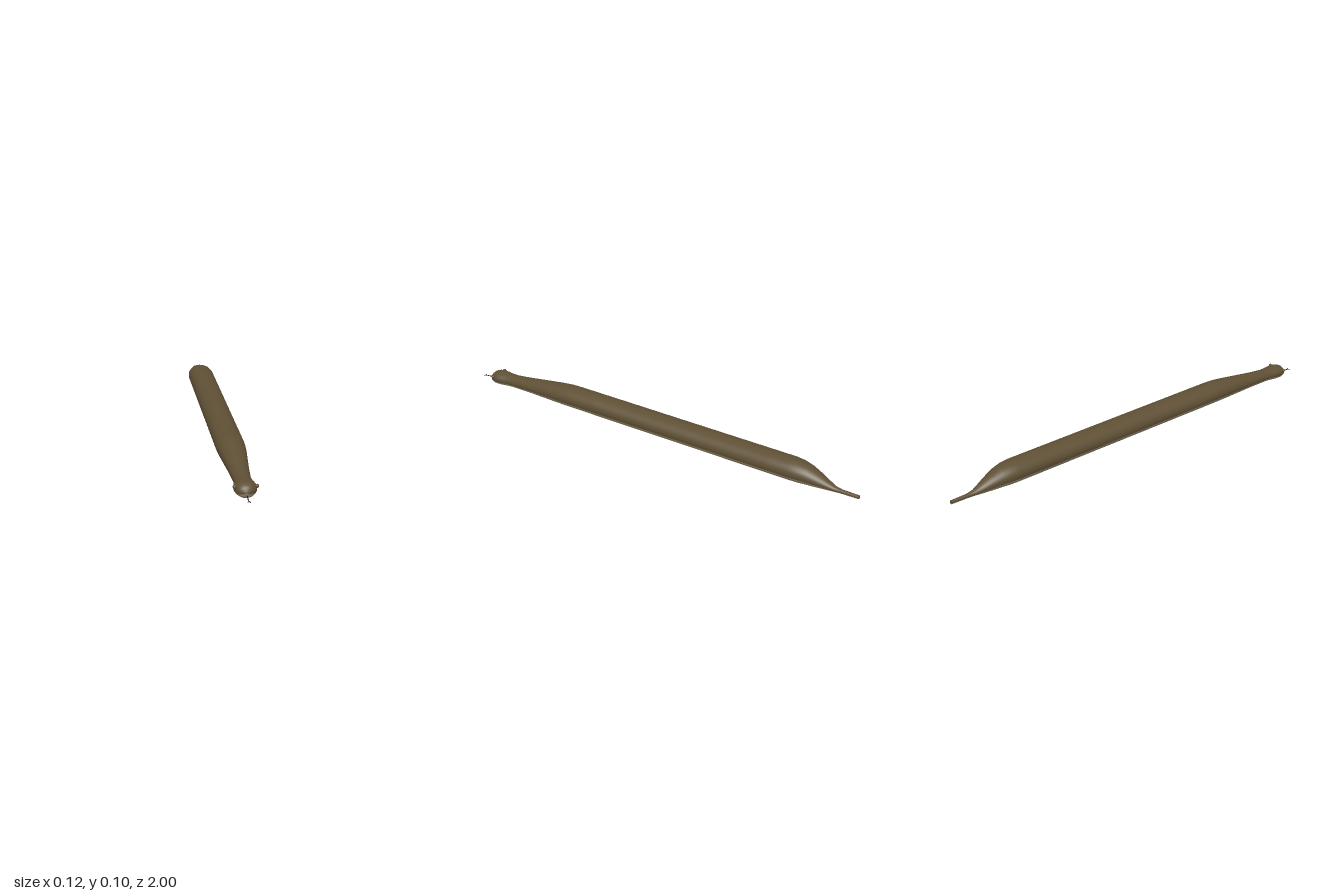
import * as THREE from 'three';

const mat = (name, color) => {
  const m = new THREE.MeshStandardMaterial({ color });
  m.name = name;
  return m;
};

// Cross-sections from snout to tail: z, half width, bottom, top
const SECTIONS = [
  [0.94, 0, 0.026, 0.026], [0.938, 0.013, 0.016, 0.037], [0.932, 0.025, 0.009, 0.048],
  [0.922, 0.035, 0.004, 0.056], [0.908, 0.042, 0.002, 0.061], [0.89, 0.045, 0.002, 0.063],
  [0.87, 0.043, 0.002, 0.063], [0.85, 0.039, 0.003, 0.062], [0.83, 0.036, 0.005, 0.062],
  [0.8, 0.035, 0.006, 0.063], [0.75, 0.038, 0.007, 0.068], [0.68, 0.043, 0.008, 0.077],
  [0.6, 0.05, 0.008, 0.088], [0.53, 0.056, 0.008, 0.097], [0.48, 0.059, 0.008, 0.102],
  [0.43, 0.06, 0.008, 0.103], [0.3, 0.06, 0.008, 0.103], [-0.6, 0.06, 0.008, 0.103],
  [-0.69, 0.06, 0.008, 0.103], [-0.73, 0.057, 0.008, 0.1], [-0.77, 0.049, 0.009, 0.091],
  [-0.82, 0.036, 0.01, 0.07], [-0.86, 0.024, 0.011, 0.05], [-0.89, 0.015, 0.012, 0.036],
  [-0.92, 0.01, 0.013, 0.031], [-1, 0.008, 0.014, 0.03],
];
const BACK = 26, BELLY = 18, N = BACK + BELLY, SEAM = 0.3;

// Angle of a ring point; the colour seam falls on ring edges
const angleAt = (j) => j <= BACK
  ? -SEAM + (Math.PI + 2 * SEAM) * j / BACK
  : Math.PI + SEAM + (Math.PI - 2 * SEAM) * (j - BACK) / BELLY;

function bodyGeometry() {
  const pos = [], back = [], belly = [];
  SECTIONS.forEach(([z, w, lo, hi], i) => {
    for (let j = 0; j < N; j++) {
      const a = angleAt(j);
      pos.push(w * Math.cos(a), (lo + hi) / 2 + (hi - lo) / 2 * Math.sin(a), z);
      if (i === SECTIONS.length - 1) continue;
      const k = (j + 1) % N, p = i * N, q = p + N;
      const side = j < BACK ? back : belly;
      if (i > 0) side.push(p + j, q + j, p + k);
      side.push(q + j, q + k, p + k);
    }
  });
  const g = new THREE.BufferGeometry();
  g.setAttribute('position', new THREE.Float32BufferAttribute(pos, 3));
  g.setIndex([...back, ...belly]);
  g.addGroup(0, back.length, 0);
  g.addGroup(back.length, belly.length, 1);
  g.computeVertexNormals();
  return g;
}

export function createModel() {
  const group = new THREE.Group();
  const brown = mat('olive brown', 0x5f5035);
  const cream = mat('belly tan', 0x9c8e70);
  const black = mat('tongue black', 0x1c1612);

  const add = (name, geometry, material, x = 0, y = 0, z = 0) => {
    const m = new THREE.Mesh(geometry, material);
    m.name = name;
    m.position.set(x, y, z);
    group.add(m);
    return m;
  };

  add('body', bodyGeometry(), [brown, cream]);

  // Blunt tail end
  const cap = add('tailEnd', new THREE.CircleGeometry(0.008, 24), brown, 0, 0.022, -1);
  cap.rotation.y = Math.PI;

  // Eyes
  for (const s of [1, -1]) {
    add(s > 0 ? 'leftEye' : 'rightEye', new THREE.SphereGeometry(0.008, 16, 12), brown, s * 0.042, 0.045, 0.908);
  }

  // Forked tongue
  const tube = (name, pts, r) => add(name, new THREE.TubeGeometry(
    new THREE.CatmullRomCurve3(pts.map((p) => new THREE.Vector3(...p))), 8, r, 6), black);
  tube('tongue', [[0, 0.02, 0.92], [0, 0.018, 0.95], [0, 0.015, 0.98]], 0.002);
  for (const s of [1, -1]) {
    tube(s > 0 ? 'leftFork' : 'rightFork', [[0, 0.015, 0.979], [s * 0.003, 0.014, 0.99], [s * 0.007, 0.014, 1]], 0.0014);
  }
  return group;
}
